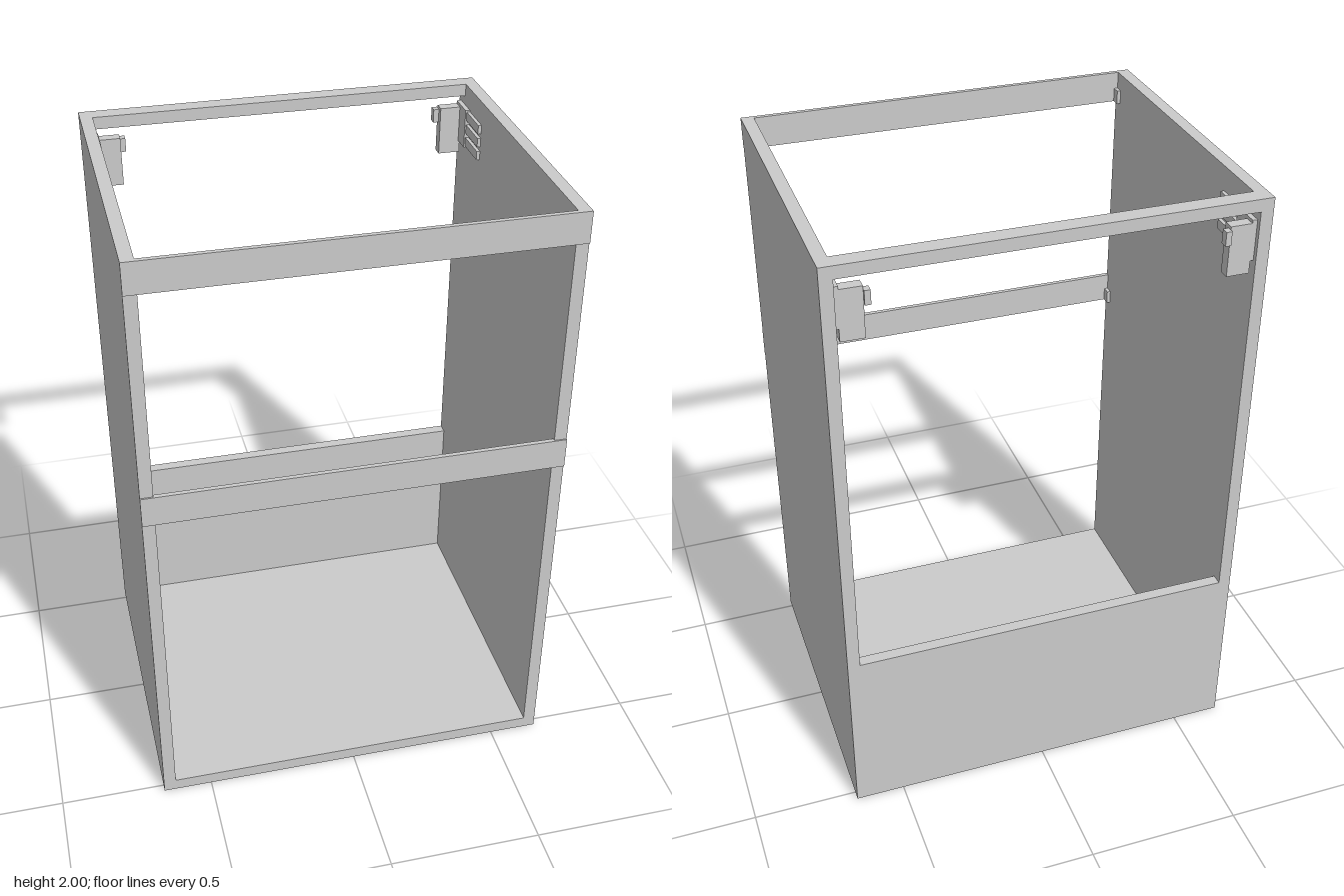
import * as THREE from 'three';

const material = new THREE.MeshStandardMaterial({ color: 0xcccccc, flatShading: true });

// Box given by its limits along each axis
function block(parent, name, [x0, x1], [y0, y1], [z0, z1]) {
  const mesh = new THREE.Mesh(new THREE.BoxGeometry(x1 - x0, y1 - y0, z1 - z0), material);
  mesh.position.set((x0 + x1) / 2, (y0 + y1) / 2, (z0 + z1) / 2);
  mesh.name = name;
  parent.add(mesh);
  return mesh;
}

// Same box on both sides of x = 0
function pair(parent, name, [x0, x1], y, z) {
  block(parent, name + 'Left', [x0, x1], y, z);
  block(parent, name + 'Right', [-x1, -x0], y, z);
}

// Thin front plate with a stiffening bar and end tabs behind it
function frontRail(name, bottom, top) {
  const rail = new THREE.Group();
  rail.name = name;
  block(rail, 'railPlate', [-0.66, 0.66], [bottom, top], [0.524, 0.53]);
  block(rail, 'railBacking', [-0.62, 0.62], [bottom, top], [0.515, 0.524]);
  pair(rail, 'railTab', [0.608, 0.62], [bottom, bottom + 0.045], [0.487, 0.515]);
  return rail;
}

// Wall hanger: adjuster housing, hook, and a ribbed plate fixed to the side
function hanger(side) {
  const group = new THREE.Group();
  group.name = side > 0 ? 'hangerLeft' : 'hangerRight';
  const span = (a, b) => (side > 0 ? [a, b] : [-b, -a]);
  block(group, 'hangerHousing', span(0.538, 0.61), [1.76, 1.92], [-0.515, -0.48]);
  block(group, 'hangerHook', span(0.52, 0.538), [1.865, 1.91], [-0.525, -0.5]);
  block(group, 'hangerNeck', span(0.605, 0.62), [1.8, 1.93], [-0.515, -0.42]);
  for (const y of [1.82, 1.865, 1.91]) {
    block(group, 'hangerProng', span(0.609, 0.62), [y - 0.015, y + 0.015], [-0.42, -0.3]);
  }
  return group;
}

export function createModel() {
  const cabinet = new THREE.Group();
  cabinet.name = 'cabinet';

  // Carcass
  pair(cabinet, 'sidePanel', [0.62, 0.66], [0, 2], [-0.53, 0.525]);
  block(cabinet, 'floorPanel', [-0.62, 0.62], [0, 0.04], [-0.53, 0.525]);
  block(cabinet, 'backPanel', [-0.62, 0.62], [0.04, 0.595], [-0.53, -0.493]);
  block(cabinet, 'backTopRail', [-0.62, 0.62], [1.96, 2], [-0.53, -0.475]);

  // Front rails
  cabinet.add(frontRail('topFrontRail', 1.9, 2));
  cabinet.add(frontRail('middleFrontRail', 1.13, 1.23));

  // Hanging hardware
  for (const side of [1, -1]) cabinet.add(hanger(side));

  return cabinet;
}
